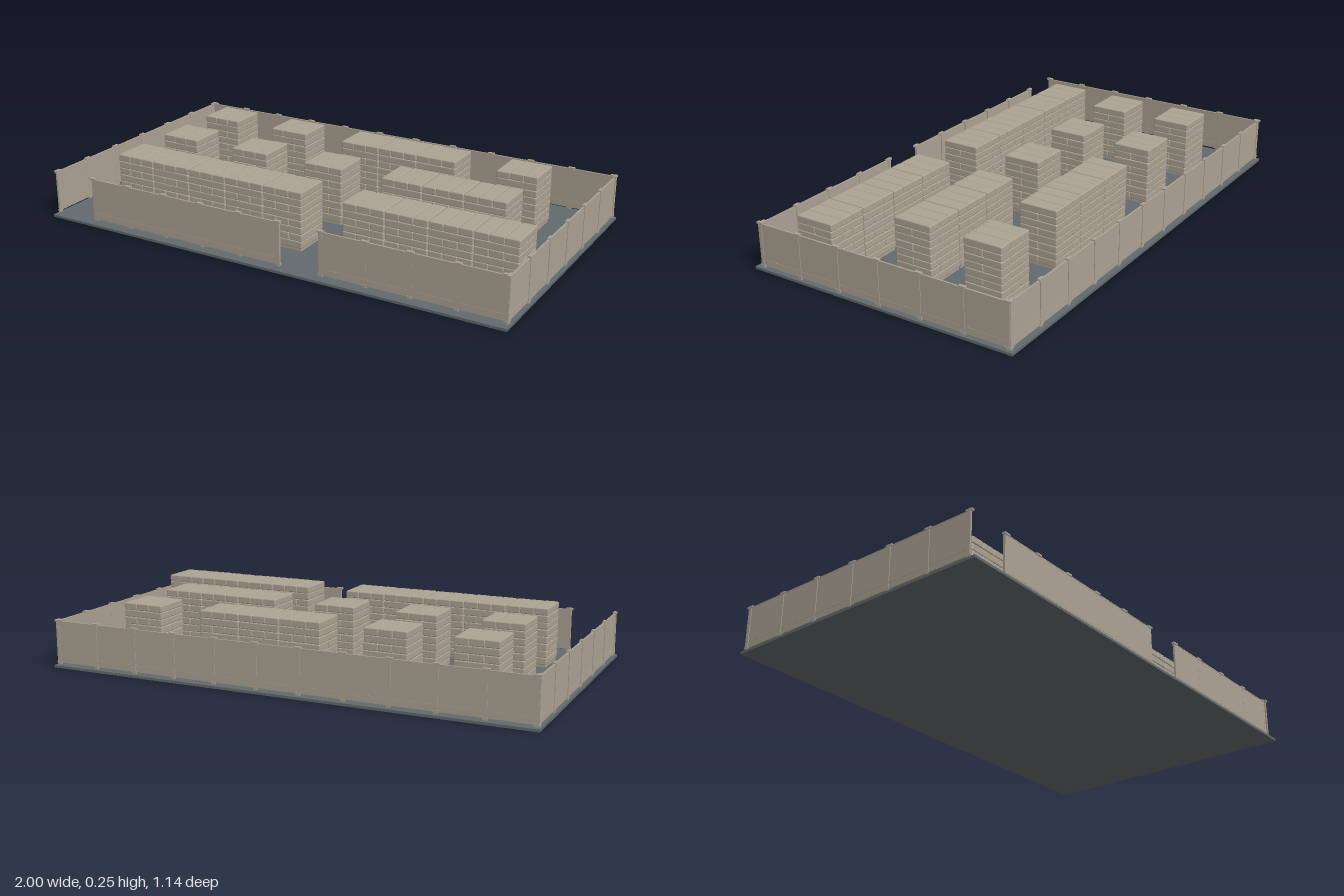
import * as THREE from 'three';
import { mergeGeometries } from 'three/addons/utils/BufferGeometryUtils.js';
import { RoundedBoxGeometry } from 'three/addons/geometries/RoundedBoxGeometry.js';

const floorMat = new THREE.MeshStandardMaterial({ name: 'slate floor', color: 0x626a6d });
const stoneMat = new THREE.MeshStandardMaterial({ name: 'beige sacks', color: 0xaca392 });
const panelMat = new THREE.MeshStandardMaterial({ name: 'beige panels', color: 0xaba293 });

let seed = 7;
const rand = () => (seed = (seed * 16807) % 2147483647) / 2147483647 - 0.5;

function box(w, h, d, x, y, z) {
  return new THREE.BoxGeometry(w, h, d).translate(x, y, z);
}

function mesh(name, geometry, material) {
  const m = new THREE.Mesh(geometry, material);
  m.name = name;
  return m;
}

// One stack: a low base, then layers of sacks laid alternately across and along
function sackStack(x, z) {
  const W = 0.173, D = 0.16, layers = 8, h = 0.0285;
  const parts = [new RoundedBoxGeometry(W - 0.008, 0.016, D - 0.008, 1, 0.001).translate(0, 0.018, 0)];
  for (let i = 0; i < layers; i++) {
    const across = i % 2 === 0, n = across ? 2 : 3;
    for (let k = 0; k < n; k++) {
      const w = across ? W : W / n, d = across ? D / n : D;
      const off = (k - (n - 1) / 2) / n;
      const g = new RoundedBoxGeometry(w + rand() * 0.002, h + 0.001, d + rand() * 0.002, 1, 0.005);
      g.translate(across ? 0 : off * W, 0.022 + (i + 0.5) * h + rand() * 0.001, across ? off * D : 0);
      parts.push(g);
    }
  }
  const m = mesh('sackStack', mergeGeometries(parts), stoneMat);
  m.position.set(x, 0, z);
  return m;
}

// A straight fence along local x, with its outside facing local +z
function fence(name, length, bays, postOffset) {
  const g = new THREE.Group();
  g.name = name;
  g.add(mesh('panel', box(length, 0.17, 0.005, 0, 0.105, 0), panelMat));
  const rails = [
    box(length - 0.03, 0.003, 0.007, 0, 0.045, 0),
    box(length, 0.004, 0.007, 0, 0.188, 0),
  ];
  g.add(mesh('rails', mergeGeometries(rails), panelMat));
  const posts = [];
  for (let i = 0; i <= bays; i++) {
    const x = -length / 2 + 0.008 + (i / bays) * (length - 0.016);
    posts.push(
      box(0.015, 0.175, 0.008, x, 0.1, postOffset),
      box(0.028, 0.008, 0.013, x, 0.191, 0),
      box(0.022, 0.006, 0.01, x, 0.022, postOffset),
    );
  }
  g.add(mesh('posts', mergeGeometries(posts), panelMat));
  return g;
}

export function createModel() {
  const model = new THREE.Group();
  model.name = 'walledStorageYard';

  // Ground slab
  model.add(mesh('floor', box(2, 0.01, 1.14, 0, 0.005, 0), floorMat));

  // Fences: the front one leaves a gateway and an open corner
  const fences = [
    ['backFence', 1.98, 11, 0.001, 0, -0.553, Math.PI],
    ['leftFence', 1.10, 6, 0.001, 0.988, -0.006, Math.PI / 2],
    ['rightFence', 1.10, 6, 0.001, -0.99, -0.006, -Math.PI / 2],
    ['frontFenceLong', 0.89, 5, -0.003, -0.365, 0.535, 0],
    ['frontFenceShort', 0.74, 4, -0.001, 0.618, 0.535, 0],
  ];
  for (const [name, length, bays, postOffset, x, z, turn] of fences) {
    const f = fence(name, length, bays, postOffset);
    f.position.set(x, 0, z);
    f.rotation.y = turn;
    model.add(f);
  }

  // Three rows of sack stacks on a regular spacing
  const rows = [
    [0.3, [0, 1, 2, 3, 4, 6, 7, 8, 9]],
    [0, [0, 2, 4, 6, 7, 8]],
    [-0.303, [0, 2, 4, 5, 6, 8]],
  ];
  for (const [z, slots] of rows) {
    for (const i of slots) model.add(sackStack(-0.71 + i * 0.1756, z));
  }
  return model;
}
